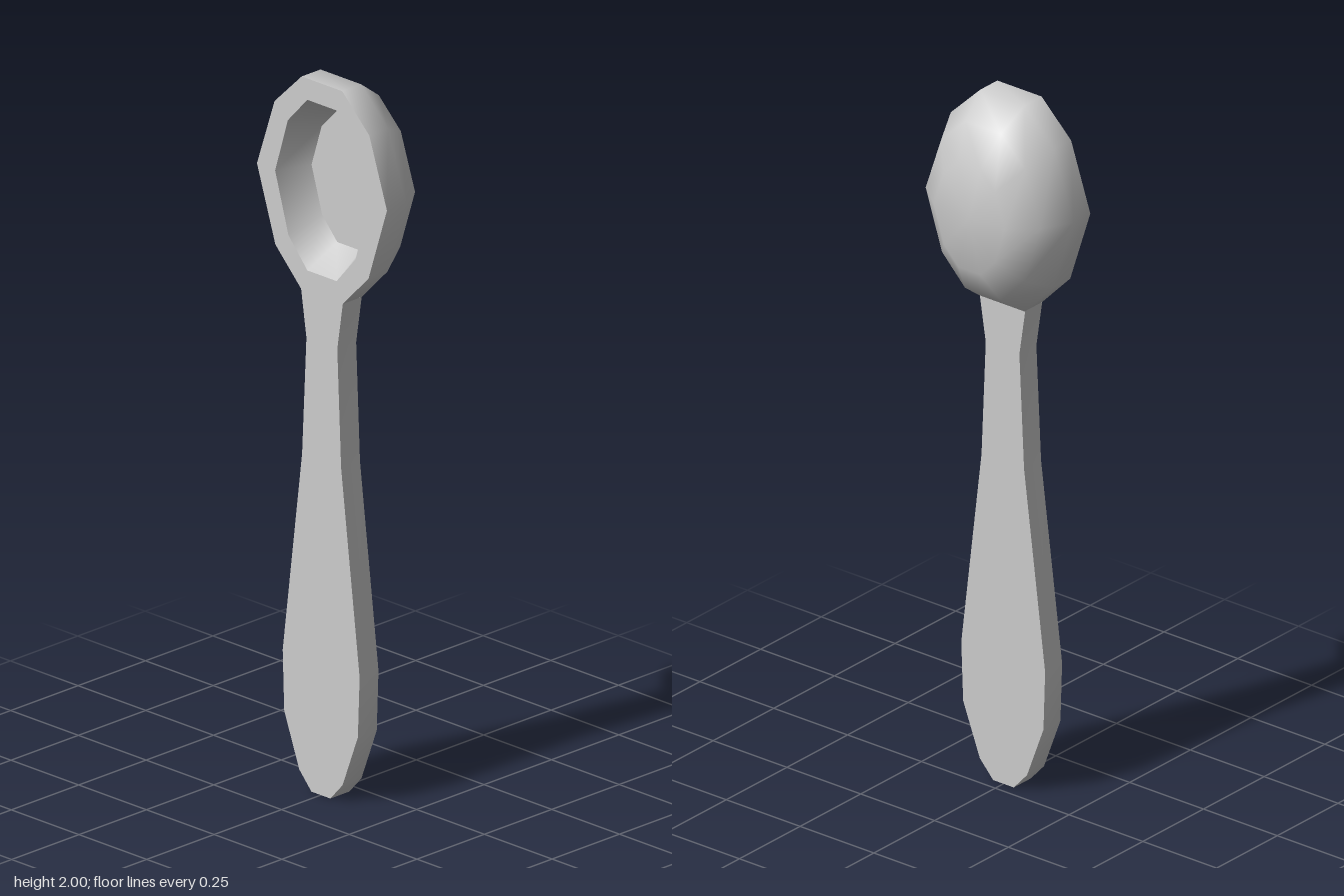
import * as THREE from 'three';
import { toCreasedNormals } from 'three/addons/utils/BufferGeometryUtils.js';

// Right half of an outline, bottom to top, mirrored to a closed counter-clockwise loop
const mirror = half => [...half, ...half.map(([x, y]) => [-x, y]).reverse()];

const CENTRE_Y = 1.7;
const bowlOutline = mirror([[0.075, 1.4], [0.172, 1.5], [0.24, 1.71], [0.175, 1.903], [0.075, 2.0]]);

// Skin over scaled copies of the bowl outline; each ring is [scaleX, scaleY, z]
function loft(rings) {
  const n = bowlOutline.length, pos = [], idx = [];
  for (const [sx, sy, z] of rings)
    for (const [x, y] of bowlOutline) pos.push(x * sx, CENTRE_Y + (y - CENTRE_Y) * sy, z);
  for (let i = 0; i < rings.length - 1; i++)
    for (let j = 0; j < n; j++) {
      const k = (j + 1) % n;
      const a = i * n + j, b = i * n + k, c = b + n, d = a + n;
      if (rings[i][0] > 0) idx.push(a, b, d);
      if (rings[i + 1][0] > 0) idx.push(b, c, d);
    }
  const g = new THREE.BufferGeometry();
  g.setAttribute('position', new THREE.Float32BufferAttribute(pos, 3));
  g.setIndex(idx);
  g.computeVertexNormals();
  return g;
}

export function createModel() {
  const metal = new THREE.MeshStandardMaterial({ color: 0xcccccc });
  metal.name = 'grey metal';
  const spoon = new THREE.Group();
  spoon.name = 'spoon';
  const add = (name, geometry) => {
    const mesh = new THREE.Mesh(geometry, metal);
    mesh.name = name;
    spoon.add(mesh);
  };

  // Bowl: rounded back, flat rim, hollow with a flat floor
  const back = [0.5, 0.51, -0.107], front = [1, 1, 0.1];
  const lip = [0.72, 0.8, 0.1], floor = [0.575, 0.617, 0];
  add('bowlBack', loft([[0, 0, -0.107], back, [0.81, 0.81, -0.05], [1, 1, 0.03], front]));
  add('bowlRim', loft([front, lip]));
  add('bowlInnerWall', loft([lip, floor]));
  add('bowlFloor', loft([floor, [0, 0, 0]]));

  // Handle: flat bar, wide at the grip and narrow at the neck
  const outline = mirror([[0.035, 0], [0.08, 0.05], [0.136, 0.2], [0.142, 0.37],
    [0.072, 0.94], [0.057, 1.27], [0.077, 1.402]]);
  const shape = new THREE.Shape(outline.map(([x, y]) => new THREE.Vector2(x, y)));
  const bar = new THREE.ExtrudeGeometry(shape, { depth: 0.07, bevelEnabled: false });
  // Lean the bar so its lower end sits slightly forward
  const p = bar.attributes.position;
  for (let i = 0; i < p.count; i++) p.setZ(i, p.getZ(i) + 0.03 + 0.004 * (1 - p.getY(i) / 1.402));
  add('handle', toCreasedNormals(bar, 0.75));

  return spoon;
}
